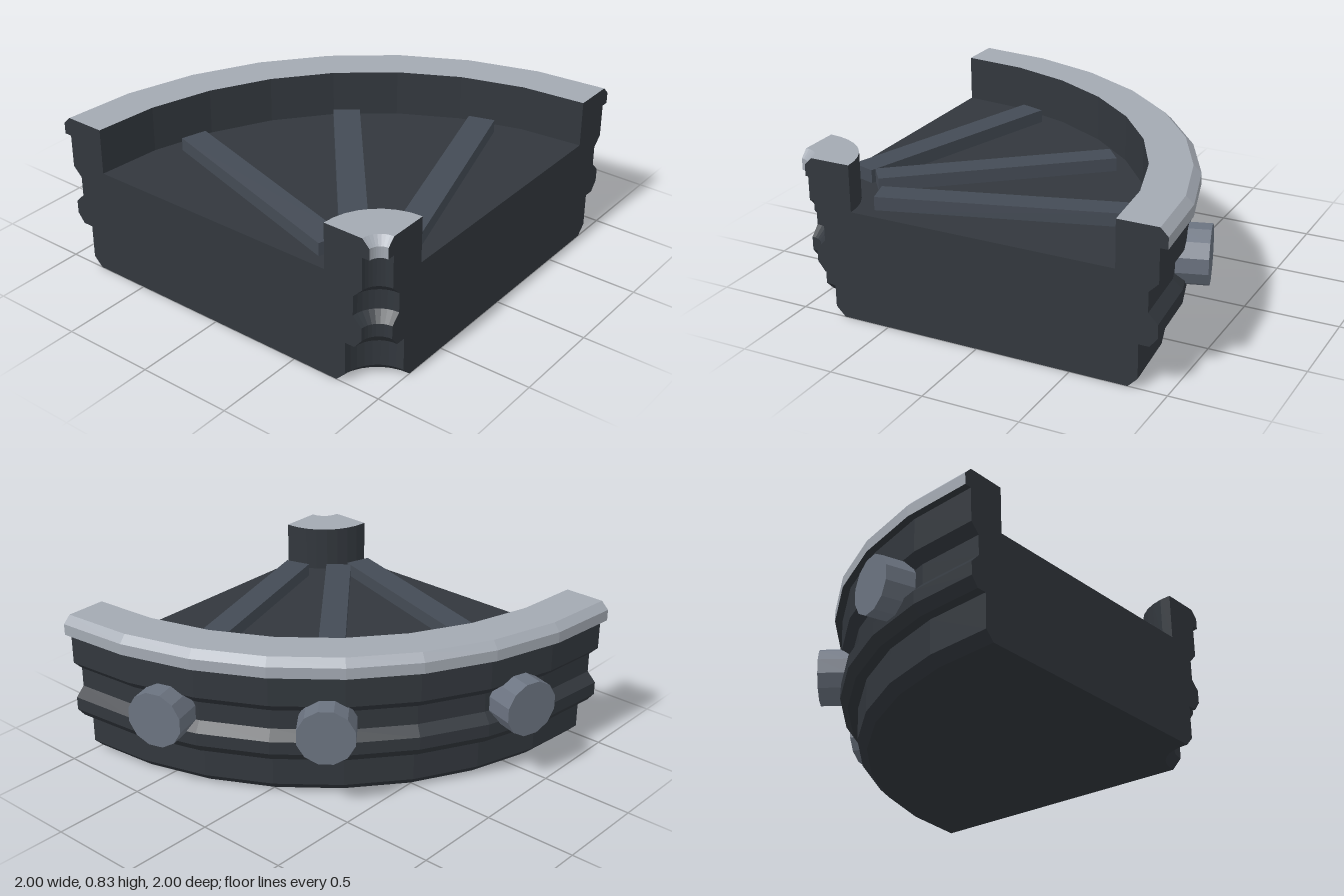
import * as THREE from 'three';

const SEGMENTS = 8;      // facets around the quarter turn
const FLOOR = 0.585;     // height of the tray floor
const TOP = 0.83;

const material = (color, side = THREE.FrontSide) =>
  new THREE.MeshStandardMaterial({ color, flatShading: true, side });

export function createModel() {
  const model = new THREE.Group();
  const dark = material(0x32373d);
  const darkDouble = material(0x32373d, THREE.DoubleSide);
  const light = material(0xa3a9b2);
  const barGrey = material(0x444b55);
  const boltGrey = material(0x6b7380);

  // Everything turns about the corner of the quarter
  const quarter = new THREE.Group();
  quarter.name = 'quarterRing';
  quarter.position.set(-1, 0, 1);
  model.add(quarter);

  const add = (name, geometry, mat, parent = quarter) => {
    const mesh = new THREE.Mesh(geometry, mat);
    mesh.name = name;
    parent.add(mesh);
    return mesh;
  };

  // Outer edge below the rim, as [radius, height]; the hub side mirrors it
  const outer = [
    [1.8, 0], [1.85, 0.05], [1.85, 0.23], [1.905, 0.23], [1.945, 0.28], [1.945, 0.35],
    [1.895, 0.4], [1.895, 0.505], [1.945, 0.555], [1.945, 0.73], [1.985, 0.73],
  ];
  const mirror = (points) => points.map(([r, y]) => [2.045 - r, y]).reverse();
  const rimEdge = [[1.985, 0.73], [1.985, 0.79], [1.945, TOP]];

  const shell = [...mirror(outer), ...outer];
  const rim = [...rimEdge, [1.73, TOP]];
  const tray = [[1.73, TOP], [1.73, FLOOR], [0.315, FLOOR], [0.315, TOP]];
  const hub = [[0.315, TOP], ...mirror(rimEdge)];

  const sweep = (name, points, mat) => add(name, new THREE.LatheGeometry(
    points.map(([r, y]) => new THREE.Vector2(r, y)), SEGMENTS, Math.PI / 2, Math.PI / 2), mat);
  sweep('shell', shell, dark);
  sweep('outerRim', rim, light);
  sweep('tray', tray, dark);
  sweep('hubRim', hub, light);

  // Flat cut faces at both ends of the quarter
  const section = new THREE.Shape(
    [...shell, ...rim, ...tray, ...hub].map(([r, y]) => new THREE.Vector2(r, y))
      .filter((p, i, all) => i === 0 || (!p.equals(all[i - 1]) && !p.equals(all[0]))));
  add('frontCutFace', new THREE.ShapeGeometry(section), dark);
  add('sideCutFace', new THREE.ShapeGeometry(section), darkDouble).rotation.y = Math.PI / 2;

  // Bars on the tray floor: start x, z and end x, z
  const bars = [
    [-0.865, 0.62, -0.508, -0.565],
    [-0.75, 0.665, 0.2, -0.118],
    [-0.617, 0.86, 0.56, 0.502],
  ];
  for (const [x0, z0, x1, z1] of bars) {
    const length = Math.hypot(x1 - x0, z1 - z0);
    const bar = add('floorBar', new THREE.BoxGeometry(length, 0.08, 0.14), barGrey, model);
    bar.position.set((x0 + x1) / 2, 0.615, (z0 + z1) / 2);
    bar.rotation.y = Math.atan2(z0 - z1, x1 - x0);
  }

  // Round studs in the outer groove: centre of outer face x, z and facing angle
  const studs = [[-0.39, -0.957, 73.1], [0.522, -0.378, 38.2], [0.954, 0.385, 16.9]];
  const depth = 0.16;
  for (const [x, z, degrees] of studs) {
    const stud = new THREE.Group();
    stud.name = 'stud';
    stud.position.set(x, 0.443, z);
    stud.rotation.y = THREE.MathUtils.degToRad(degrees);
    const disc = add('studDisc',
      new THREE.CylinderGeometry(0.152, 0.152, depth, 12, 1, false, Math.PI / 12), boltGrey, stud);
    disc.rotation.z = -Math.PI / 2;
    disc.position.x = -depth / 2;
    model.add(stud);
  }

  return model;
}
